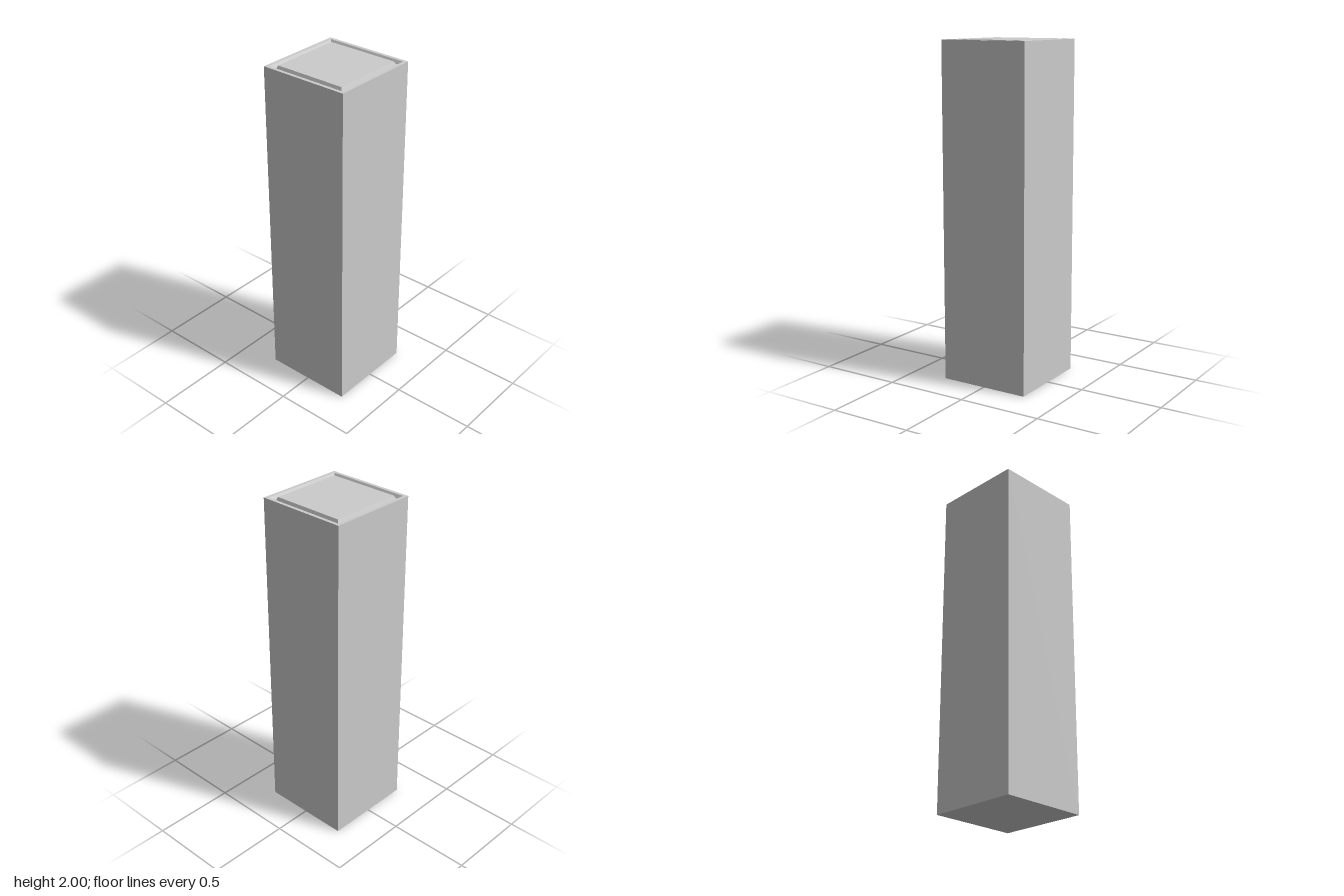
import * as THREE from 'three';

// Half-width and height of each square section, from the base centre up to the top centre
const SECTIONS = [
  [0, 0], [0.274, 0],          // base
  [0.274, 1.998],              // outer walls
  [0.254, 1.998],              // flat rim
  [0.242, 1.978],              // groove, outer slope
  [0.229, 1.978],              // groove floor
  [0.22, 2], [0, 2],           // inner slope and raised panel
];

// Square solid: a four-sided lathe turned so its sides face the axes
function squareLathe(sections) {
  const points = sections.map(([half, y]) => new THREE.Vector2(half * Math.SQRT2, y));
  const geometry = new THREE.LatheGeometry(points, 4, Math.PI / 4).toNonIndexed();
  geometry.computeVertexNormals();
  return geometry;
}

export function createModel() {
  const group = new THREE.Group();
  group.name = 'squarePillar';
  const material = new THREE.MeshStandardMaterial({ color: 0xcccccc, flatShading: true });
  const pillar = new THREE.Mesh(squareLathe(SECTIONS), material);
  pillar.name = 'pillarWithGroovedTop';
  group.add(pillar);
  return group;
}
